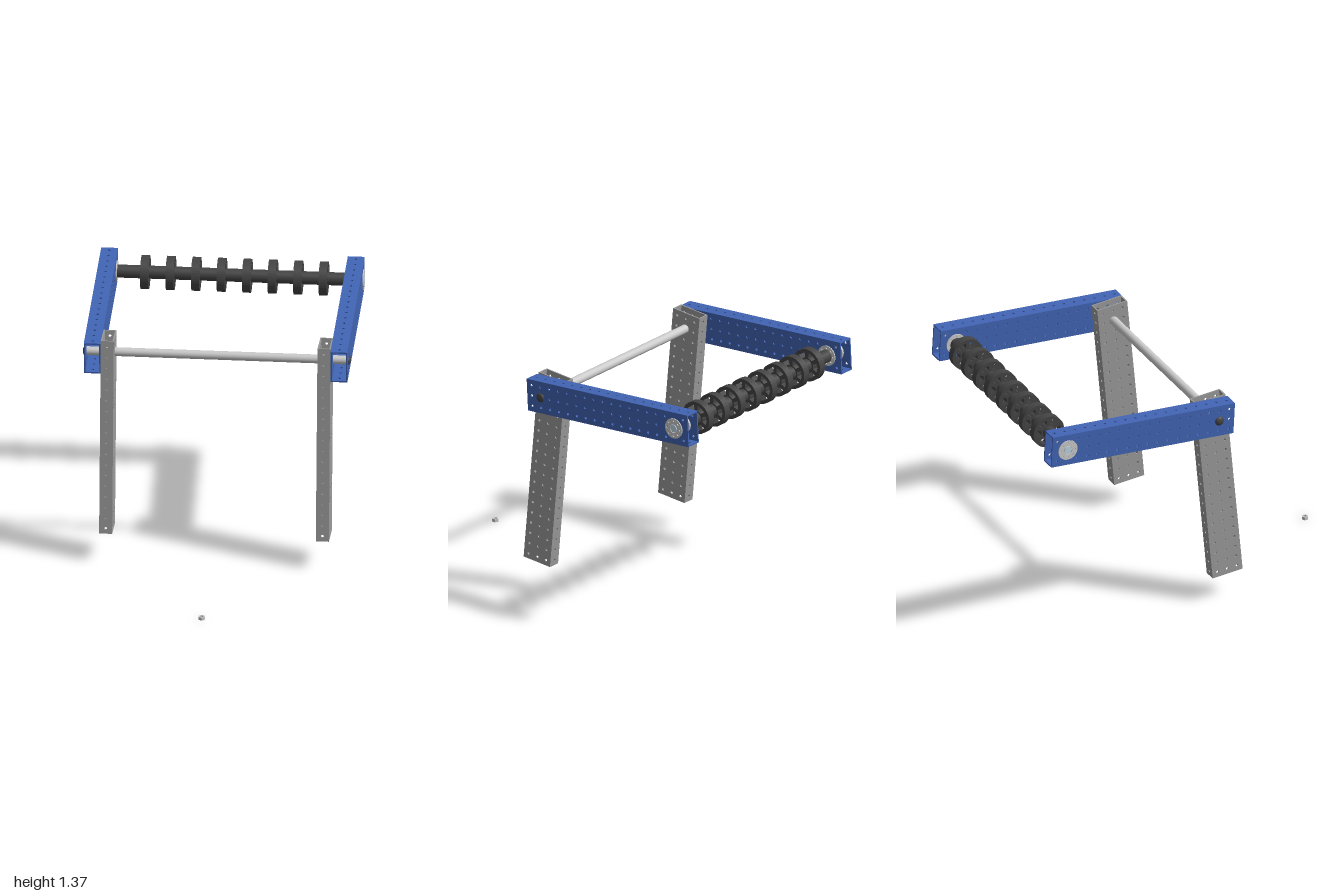
import * as THREE from 'three';
import { mergeGeometries } from 'three/addons/utils/BufferGeometryUtils.js';

const PITCH = 0.064, LEN = 18 * PITCH, DEPTH = 0.19, WALL = 0.008, PIVOT = 7.5 * PITCH;
const mat = (color) => new THREE.MeshStandardMaterial({ color });
const grey = mat(0xcccccc), legGrey = mat(0x9c9c9c), blue = mat(0x4265b5);
const black = mat(0x444444), steel = mat(0xbcd6e4);

function mesh(name, geo, material, x = 0, y = 0, z = 0) {
  const m = new THREE.Mesh(geo, material);
  m.name = name;
  m.position.set(x, y, z);
  return m;
}

function circle(x, y, r) {
  return new THREE.Path().absarc(x, y, r, 0, Math.PI * 2, true);
}

// Extrusion centred on its thickness
function slab(shape, depth, curveSegments) {
  return new THREE.ExtrudeGeometry(shape, { depth, bevelEnabled: false, curveSegments })
    .translate(0, 0, -depth / 2);
}

// Perforated plate, length along y; bores = [{ y, r }] are larger holes on the centre line
function plate(width, rows, bores) {
  const s = new THREE.Shape();
  s.moveTo(-width / 2, -LEN / 2);
  s.lineTo(width / 2, -LEN / 2);
  s.lineTo(width / 2, LEN / 2);
  s.lineTo(-width / 2, LEN / 2);
  s.closePath();
  for (let i = 0; i < 18; i++) {
    for (let j = 0; j < rows; j++) {
      const x = (j - (rows - 1) / 2) * 0.062, y = (i - 8.5) * PITCH;
      if (bores.some((b) => Math.hypot(x, y - b.y) < b.r + 0.016)) continue;
      s.holes.push(circle(x, y, 0.008));
    }
  }
  for (const b of bores) s.holes.push(circle(0, b.y, b.r));
  return slab(s, WALL, 8);
}

// Open rectangular tube made of four perforated walls
function tube(width, bores) {
  const walls = [];
  for (const s of [-1, 1]) {
    walls.push(plate(DEPTH, 3, bores).rotateY(Math.PI / 2).translate(s * (width - WALL) / 2, 0, 0));
    walls.push(plate(width - 2 * WALL, 1, []).translate(0, 0, s * (DEPTH - WALL) / 2));
  }
  return mergeGeometries(walls);
}

// Cylinder lying along x
function bar(r, length, sides = 32) {
  return new THREE.CylinderGeometry(r, r, length, sides).rotateZ(Math.PI / 2);
}

// Spoked wheel facing along x
function wheelGeometry() {
  const rim = new THREE.Shape().absarc(0, 0, 0.096, 0, Math.PI * 2);
  rim.holes.push(circle(0, 0, 0.03));
  for (let i = 0; i < 6; i++) {
    const a = i * Math.PI / 3, w = 0.36;
    const gap = new THREE.Path();
    gap.absarc(0, 0, 0.076, a - w, a + w, false);
    gap.absarc(0, 0, 0.046, a + w * 0.8, a - w * 0.8, true);
    gap.closePath();
    rim.holes.push(gap);
  }
  return slab(rim, 0.046, 20).rotateY(Math.PI / 2);
}

// Bearing flange with a ring of small holes
function flangeGeometry() {
  const s = new THREE.Shape().absarc(0, 0, 0.06, 0, Math.PI * 2);
  s.holes.push(circle(0, 0, 0.026));
  for (let i = 0; i < 8; i++) {
    const a = i * Math.PI / 4;
    s.holes.push(circle(0.045 * Math.cos(a), 0.045 * Math.sin(a), 0.005));
  }
  return slab(s, 0.006, 16).rotateY(Math.PI / 2);
}

export function createModel() {
  const root = new THREE.Group();
  root.name = 'rollerIntakeFrame';
  const rodY = 1.217, rodZ = 0.066, hubY = 1.27, hubZ = -0.893;

  // Legs and arms
  const legGeo = tube(0.074, [{ y: PIVOT, r: 0.025 }]);
  const armGeo = tube(0.095, [{ y: PIVOT, r: 0.05 }, { y: -PIVOT, r: 0.025 }]);
  const flange = flangeGeometry();
  const boltGeo = new THREE.SphereGeometry(0.027, 24, 12).scale(0.5, 1, 1);
  for (const s of [-1, 1]) {
    const side = s > 0 ? 'left' : 'right';
    const leg = mesh(side + 'Leg', legGeo, legGrey, s * 0.613, 0.738, 0.112);
    leg.rotation.x = -0.094;
    const arm = mesh(side + 'Arm', armGeo, blue, s * 0.6975, 1.244, -0.416);
    arm.rotation.x = 0.054 - Math.PI / 2;
    root.add(leg, arm);
    root.add(mesh(side + 'Bolt', boltGeo, black, s * 0.745, rodY, rodZ));

    // A bearing in each of the arm's two side walls
    for (const t of [-1, 1]) {
      const x = s * 0.6975 + t * 0.0475;
      root.add(mesh(side + 'BearingFlange', flange, grey, x + t * 0.003, hubY, hubZ));
      root.add(mesh(side + 'BearingBody', bar(0.049, 0.018), grey, x - t * 0.009, hubY, hubZ));
    }
  }

  // Cross rod through the legs
  root.add(mesh('crossRod', bar(0.025, 1.484), grey, 0, rodY, rodZ));

  // Roller: hexagonal shaft, sleeve and eight wheels
  root.add(mesh('hexShaft', bar(0.024, 1.504, 6).toNonIndexed(), steel, 0, hubY, hubZ));
  root.add(mesh('rollerSleeve', bar(0.037, 1.29), black, 0, hubY, hubZ));
  const wheel = wheelGeometry();
  for (let i = 0; i < 8; i++) {
    root.add(mesh('wheel', wheel, black, 0.018 + (i - 3.5) * 0.1443, hubY, hubZ));
  }

  // Loose hexagonal nut on the ground
  const hex = new THREE.Shape();
  for (let i = 0; i < 6; i++) {
    const a = i * Math.PI / 3 + Math.PI / 2;
    hex[i ? 'lineTo' : 'moveTo'](0.02 * Math.cos(a), 0.02 * Math.sin(a));
  }
  hex.closePath();
  hex.holes.push(circle(0, 0, 0.01));
  root.add(mesh('nut', slab(hex, 0.018, 12).rotateX(Math.PI / 2), grey, -0.008, 0.009, 0.98));
  return root;
}
